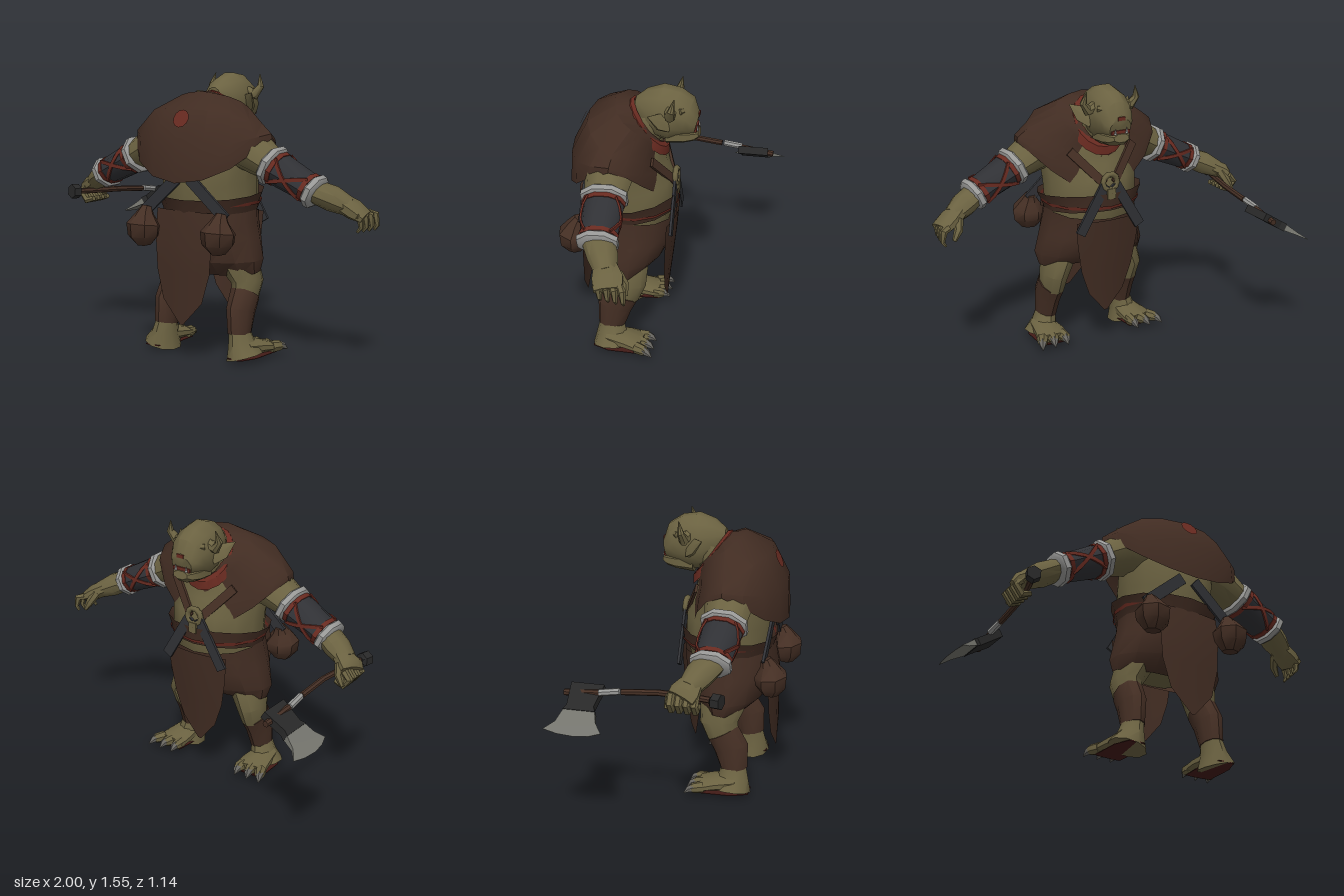
import * as THREE from 'three';
import { toCreasedNormals } from 'three/addons/utils/BufferGeometryUtils.js';

const V = (x, y, z) => new THREE.Vector3(x, y, z);
const paint = (name, color, side = THREE.FrontSide) => {
  const m = new THREE.MeshStandardMaterial({ color, side });
  m.name = name;
  return m;
};

// Skins a list of closed rings, with optional end caps
function skinRings(rings, capped = true) {
  const n = rings[0].length, pos = [], idx = [];
  rings.forEach(r => r.forEach(p => pos.push(p.x, p.y, p.z)));
  for (let i = 0; i < rings.length - 1; i++) for (let j = 0; j < n; j++) {
    const k = (j + 1) % n, a = i * n + j, b = i * n + k;
    idx.push(a, b, b + n, a, b + n, a + n);
  }
  if (capped) [0, rings.length - 1].forEach((r, end) => {
    const c = rings[r].reduce((s, p) => s.add(p), V(0, 0, 0)).divideScalar(n);
    const ci = pos.length / 3;
    pos.push(c.x, c.y, c.z);
    for (let j = 0; j < n; j++) {
      const a = r * n + j, b = r * n + (j + 1) % n;
      end ? idx.push(ci, a, b) : idx.push(ci, b, a);
    }
  });
  const g = new THREE.BufferGeometry();
  g.setAttribute('position', new THREE.Float32BufferAttribute(pos, 3));
  g.setIndex(idx);
  return toCreasedNormals(g, 0.7);
}

// Lofts oval sections [x, y, z, radiusAcross, radiusOther] along a path; s mirrors x
function limb(pts, n = 10, s = 1, capped = true) {
  const c = pts.map(p => V(p[0] * s, p[1], p[2])), last = c.length - 1;
  const all = c[last].clone().sub(c[0]).normalize();
  const ref = Math.abs(all.z) > 0.7 ? V(0, 1, 0) : V(0, 0, 1);
  return skinRings(c.map((p, i) => {
    const t = c[Math.min(i + 1, last)].clone().sub(c[Math.max(i - 1, 0)]).normalize();
    const u = ref.clone().cross(t).normalize(), v = t.clone().cross(u);
    const [ru, rv = ru] = pts[i].slice(3);
    return Array.from({ length: n }, (_, j) => {
      const a = (j + 0.5) / n * Math.PI * 2;
      return p.clone().addScaledVector(u, Math.cos(a) * ru).addScaledVector(v, Math.sin(a) * rv);
    });
  }), capped);
}

function plate(points, depth) {
  const g = new THREE.ExtrudeGeometry(new THREE.Shape(points.map(p => new THREE.Vector2(...p))), { depth, bevelEnabled: false });
  return g.translate(0, 0, -depth / 2);
}

// Hanging cloth: rows of [half width, y, z], bowed round the hips by bow
function cloth(rows, bow) {
  const g = new THREE.PlaneGeometry(2, 1, 4, rows.length - 1), p = g.attributes.position;
  for (let i = 0; i < p.count; i++) {
    const [w, y, z] = rows[Math.floor(i / 5)], x = p.getX(i) * w;
    p.setXYZ(i, x, y, z + bow * x * x);
  }
  return toCreasedNormals(g, 0.7);
}

export function createModel() {
  const model = new THREE.Group(), body = new THREE.Group();
  model.name = 'axeBrute';
  body.name = 'body';
  body.position.x = 0.02;
  model.add(body);
  const D = THREE.DoubleSide;
  const skin = paint('olive skin', 0x6b6241), leather = paint('brown leather', 0x412c22, D),
    wrap = paint('lighter leather', 0x452f24, D), red = paint('dull red', 0x682a20, D),
    slate = paint('dark slate', 0x303135), steel = paint('pale steel', 0x989896),
    blade = paint('blade grey', 0x74746d), iron = paint('black iron', 0x282828),
    claw = paint('claw grey', 0x66645f), underfoot = paint('dark red sole', 0x421a16);
  const add = (name, geo, mat, parent = body) => {
    const m = new THREE.Mesh(geo, mat);
    m.name = name;
    parent.add(m);
    return m;
  };
  const box = (name, w, h, d, x, y, z, mat) => add(name, new THREE.BoxGeometry(w, h, d), mat).position.set(x, y, z);
  // Flat strap between two points, facing the given normal
  const strap = (name, a, b, width, normal, mat) => {
    const y = b.clone().sub(a), len = y.length();
    y.normalize();
    const x = y.clone().cross(normal).normalize();
    const m = add(name, new THREE.BoxGeometry(width, len, 0.015), mat);
    m.quaternion.setFromRotationMatrix(new THREE.Matrix4().makeBasis(x, y, x.clone().cross(y)));
    m.position.copy(a).add(b).multiplyScalar(0.5);
  };

  // Torso and neck
  add('torso', limb([[0, .5, .21, .2, .17], [0, .72, .21, .26, .22], [0, .86, .195, .27, .245], [0, .96, .2, .275, .245],
    [0, 1.06, .22, .285, .22], [0, 1.14, .21, .29, .2], [0, 1.28, .2, .23, .16], [0, 1.36, .16, .12, .1]], 14), skin);
  add('neck', limb([[0, 1.2, .18, .13, .13], [0, 1.38, .06, .095, .1]]), skin);

  // Head
  add('head', limb([[0, 1.4, .175, .045, .05], [0, 1.395, .125, .09, .105], [0, 1.38, .05, .118, .152], [0, 1.36, -.04, .118, .156],
    [0, 1.345, -.1, .105, .128], [0, 1.322, -.135, .088, .08], [0, 1.315, -.162, .066, .062]], 12), skin);
  add('jaw', limb([[0, 1.255, 0, .09, .062], [0, 1.258, -.1, .09, .052], [0, 1.26, -.15, .07, .042], [0, 1.265, -.176, .05, .024]], 8), skin);
  add('brow', limb([[-.095, 1.42, -.08, .018], [-.04, 1.415, -.125, .022], [.04, 1.415, -.125, .022], [.095, 1.42, -.08, .018]], 6), skin);
  add('nose', limb([[0, 1.395, -.11, .025, .025], [0, 1.37, -.155, .036, .024], [0, 1.368, -.176, .024, .015]], 6), skin);
  box('noseTip', .045, .02, .01, 0, 1.374, -.174, red);
  box('mouth', .11, .022, .02, 0, 1.296, -.158, red);
  for (const s of [1, -1]) {
    box('eye', .03, .014, .012, s * .045, 1.39, -.124, iron);
    add('tusk', new THREE.ConeGeometry(.009, .035, 5).translate(s * .035, 1.305, -.17), steel);
    add('horn', limb([[.08, 1.42, -.03, .034], [.135, 1.405, -.035, .03], [.165, 1.45, -.045, .02], [.15, 1.515, -.06, .002]], 7, s), skin);
    add('ear', limb([[.09, 1.345, -.02, .055, .022], [.14, 1.375, .025, .05, .014], [.185, 1.42, .075, .003, .003]], 6, s), skin);
  }

  // Shoulder cape: heights run from the back (first) round to the chest (last)
  const cape = [
    [.11, .1, .09, .09, [1.43, 1.42, 1.4, 1.36, 1.32, 1.28, 1.24, 1.21, 1.19]],
    [.22, .16, .12, .13, [1.435, 1.425, 1.41, 1.385, 1.355, 1.31, 1.25, 1.2, 1.17]],
    [.36, .23, .2, .2, [1.35, 1.345, 1.33, 1.29, 1.275, 1.24, 1.18, 1.14, 1.16]],
    [.425, .24, .28, .22, [1.17, 1.17, 1.18, 1.21, 1.225, 1.19, 1.13, 1.08, 1.15]],
    [.43, .24, .29, .23, [.96, .985, 1.05, 1.14, 1.2, 1.16, 1.06, .95, 1.14]],
  ].map(([rx, z, back, front, ys]) => Array.from({ length: 16 }, (_, j) => {
    const a = -j / 16 * Math.PI * 2, c = Math.cos(a);
    return V(Math.sin(a) * rx, ys[j > 8 ? 16 - j : j], z + c * (c > 0 ? back : front));
  }));
  add('cape', skinRings(cape, false), leather);
  const collar = [[.1, 1.315, .12, .095, .085], [.14, 1.305, .13, .095, .105], [.16, 1.265, .14, .11, .12]].map(([rx, y, dy, z, rz]) =>
    Array.from({ length: 16 }, (_, j) => {
      const a = -j / 16 * Math.PI * 2;
      return V(Math.sin(a) * rx, y + dy * Math.cos(a), z + rz * Math.cos(a));
    }));
  add('collar', skinRings(collar, false), red);
  const emblem = add('backDisc', new THREE.CircleGeometry(.05, 12), red);
  emblem.position.set(0, 1.3, .468);
  emblem.rotation.x = -.44;

  // Belt, skirt and hanging flaps
  add('belt', limb([[0, .79, .19, .27, .25], [0, .84, .195, .285, .26], [0, .89, .2, .31, .272]], 14, 1, false), leather);
  add('beltTrim', limb([[0, .828, .195, .286, .262], [0, .846, .195, .291, .266]], 14, 1, false), red);
  add('skirt', limb([[0, .46, .2, .32, .13], [0, .53, .21, .335, .21], [0, .65, .205, .3, .25], [0, .73, .2, .28, .25], [0, .8, .19, .27, .245]], 14, 1, false), leather);
  add('backFlap', cloth([[.2, .8, .445], [.185, .62, .474], [.175, .47, .474], [.13, .31, .474], [.01, .18, .474]], -.6), leather);
  add('frontFlap', cloth([[.2, .76, -.062], [.19, .62, -.05], [.16, .45, -.03], [.11, .31, -.012], [.01, .19, 0]], .9), leather);

  // Chest ornament
  add('chestRing', new THREE.TorusGeometry(.045, .017, 6, 10), skin).position.set(0, .98, -.05);
  box('chestBone', .05, .06, .03, 0, .915, -.055, skin);

  for (const s of [1, -1]) {
    // Straps and pouch
    strap('backStrap', V(s * .04, .98, .45), V(s * .27, .78, .44), .065, V(0, 0, 1), slate);
    strap('frontStrap', V(s * .03, .97, -.05), V(s * .19, .7, -.05), .06, V(0, 0, -1), slate);
    strap('upperStrap', V(s * .03, .97, -.04), V(s * .2, 1.16, .05), .05, V(0, 0, -1), wrap);
    add('pouch', limb([[.25, .6, .475, .045], [.25, .65, .48, .092, .085], [.25, .71, .48, .1, .092], [.25, .77, .465, .05], [.25, .805, .45, .03]], 7, s), wrap);

    // Arm with guard and steel rings
    add('arm', limb([[.2, 1.17, .24, .12, .14], [.34, 1.12, .26, .11, .13], [.45, 1.06, .26, .085, .11], [.58, 1, .25, .075, .095],
      [.7, .94, .24, .06, .085], [.78, .905, .2, .068, .08], [.86, .865, .165, .05, .06]], 10, s), skin);
    add('armGuard', limb([[.45, 1.06, .26, .092, .115], [.7, .94, .245, .074, .098]], 10, s), slate);
    const at = (t, extra = 0) => [.45 + .25 * t, 1.06 - .12 * t, .26 - .015 * t, .092 - .018 * t + extra, .115 - .017 * t + extra];
    for (const [t, name] of [[0, 'upperRing'], [1, 'lowerRing']])
      add(name, limb([at(t - .09, .003), at(t - .05, .018), at(t + .05, .018), at(t + .09, .003)], 8, s), steel);
    for (const t of [.09, .82]) add('guardBand', limb([at(t, .005), at(t + .09, .005)], 10, s), red);
    // Crossed lacing on both faces of the guard
    for (const face of [1, -1]) for (const k of [1, -1]) {
      const pts = Array.from({ length: 6 }, (_, i) => {
        const t = .12 + .76 * i / 5, a = face * Math.PI / 2 + k * (i / 5 - .5) * 1.7, [x, y, z, ru, rv] = at(t, .001);
        return [x + Math.cos(a) * ru * .43, y + Math.cos(a) * ru * .9, z + Math.sin(a) * rv, .014, .007];
      });
      add('guardLacing', limb(pts, 4, s), red);
    }

    // Hand: open on the left, closed round the axe on the right
    const open = s > 0;
    add('palm', limb([[.82, .885, .18, .05, .062], [.885, .85, .155, .05, .085], [open ? .945 : .91, open ? .815 : .83, .14, .03, .08]], 8, s), skin);
    for (let i = 0; i < 4; i++) {
      const z = .085 + i * .042, r = .022;
      add('finger', limb(open
        ? [[.925, .83, z, r], [.958 - i * .006, .82, z - .02, r], [.967 - i * .008, .765, z - .025, .013], [.95 - i * .01, .74, z - .025, .008]]
        : [[.89, .84, z, r], [.925, .8, z, r], [.89, .755, z, r], [.84, .77, z, .015]], 6, s), skin);
    }
    add('thumb', limb([[.85, .86, .11, .028], [.87, .81, .07, .024], [.9, .76, .06, .012]], 6, s), skin);

    // Leg, shin wrap and clawed foot
    add('thigh', limb([[.15, .64, .22, .12, .14], [.21, .48, .2, .09, .125], [.24, .4, .19, .08, .108], [.24, .31, .215, .066, .09]], 10, s), skin);
    add('shinWrap', limb([[.24, .338, .213, .077, .096], [.245, .25, .262, .07, .1], [.25, .125, .282, .06, .076]], 10, s), wrap);
    add('heel', limb([[.25, .14, .28, .056, .07], [.262, .07, .278, .07, .088], [.28, .003, .275, .105, .108]], 10, s), skin);
    add('foot', limb([[.275, .055, .3, .07, .052], [.28, .045, .18, .09, .042], [.29, .033, .1, .098, .03]], 10, s), skin);
    add('sole', limb([[.28, .004, .375, .05, .004], [.28, .004, .28, .09, .004], [.29, .004, .09, .085, .004]], 8, s), underfoot);
    for (const k of [-1, 0, 1]) {
      const x = .29 + k * .062;
      add('toe', limb([[x, .035, .12, .035, .034], [x + k * .012 + .01, .035, .075, .03, .03], [x + k * .015 + .015, .03, .06, .022, .022]], 7, s), skin);
      add('toeClaw', limb([[x + k * .012 + .012, .036, .075, .026, .026], [x + k * .016 + .018, .03, .05, .02, .02], [x + k * .02 + .025, .01, .025, .003, .003]], 6, s), claw);
    }
  }

  // Axe
  const axe = new THREE.Group();
  axe.name = 'axe';
  model.add(axe);
  add('axeHandle', limb([[-.86, .82, .31, .017], [-.83, .815, .2, .017], [-.795, .805, 0, .017], [-.787, .785, -.2, .017]], 7), wrap, axe);
  add('handleSleeve', limb([[-.787, .787, -.21, .019], [-.79, .77, -.32, .019]], 7), steel, axe);
  add('handleTip', limb([[-.785, .765, -.32, .018], [-.77, .745, -.515, .018]], 7), wrap, axe);
  add('pommel', limb([[-.855, .82, .29, .025], [-.86, .82, .3, .042], [-.872, .822, .345, .042]], 6), iron, axe);
  const head = new THREE.Group();
  head.name = 'axeHead';
  const d = V(-.85, -.53, 0).normalize(), along = V(0, 0, 1);
  head.quaternion.setFromRotationMatrix(new THREE.Matrix4().makeBasis(d, along, d.clone().cross(along)));
  head.position.set(-.765, .755, -.4);
  axe.add(head);
  add('headBlock', plate([[-.04, -.085], [.1, -.075], [.13, -.09], [.13, .085], [.1, .07], [-.04, .095]], .045), iron, head);
  // Wedge-shaped blade, thinned toward its curved edge
  const wedge = plate([[.12, -.085], [.2, -.115], [.25, -.17], [.27, -.09], [.277, 0], [.268, .08], [.245, .14], [.19, .1], [.12, .08]], .04);
  const p = wedge.attributes.position;
  for (let i = 0; i < p.count; i++) p.setZ(i, p.getZ(i) * Math.max(.04, 1 - (p.getX(i) - .12) / .14));
  add('axeBlade', toCreasedNormals(wedge, .5), blade, head);

  return model;
}
